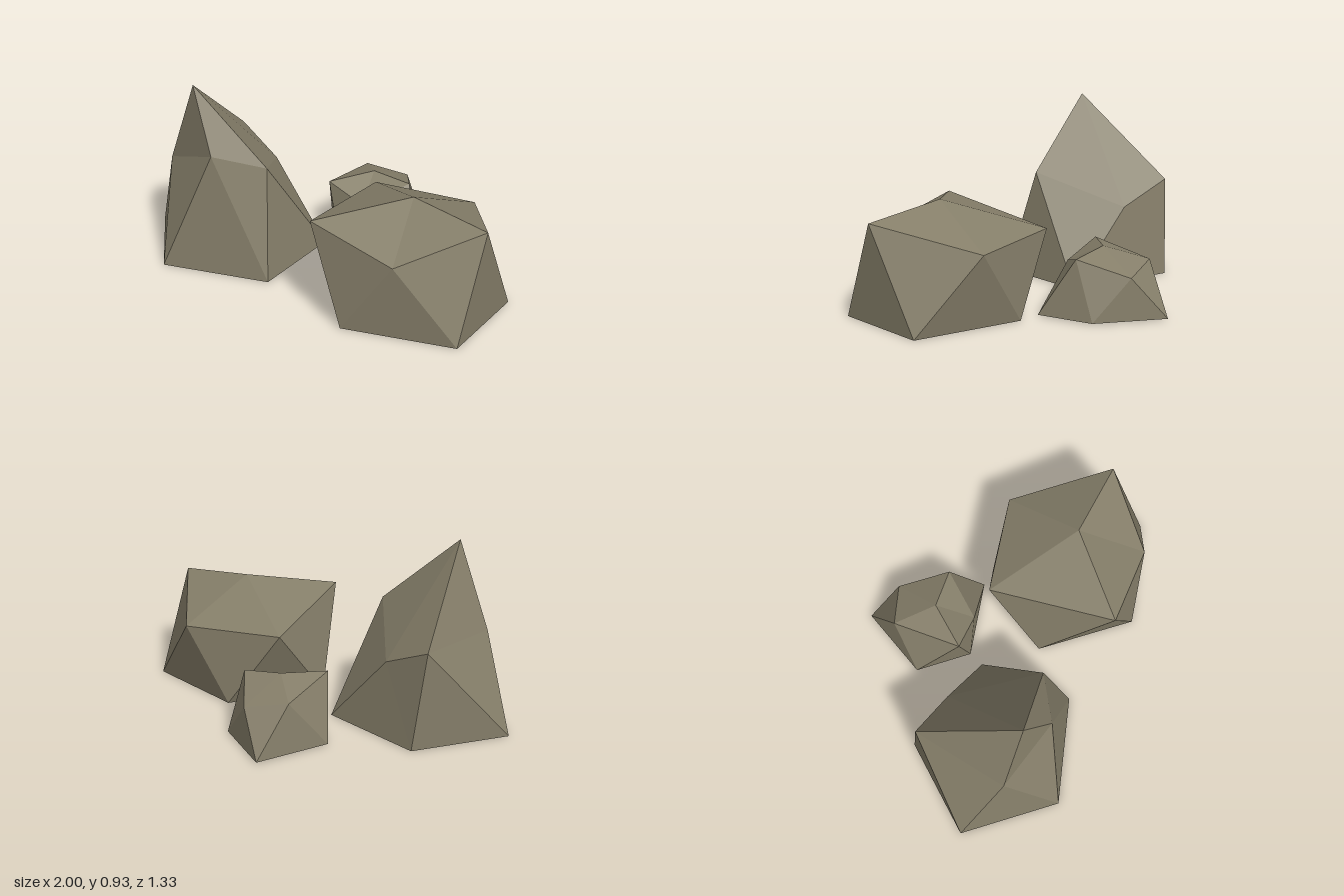
import * as THREE from 'three';

const stone = new THREE.MeshStandardMaterial({ color: 0x857e69, flatShading: true });
stone.name = 'stone';

// Faceted rock: flat pentagon base [x, z], staggered upper ring [x, y, z] and a peak.
// Ring point i sits between base points i and i + 1 (counter-clockwise from above).
function makeRock(name, baseY, base, ring, peak) {
  const n = base.length;
  const points = [...base.map(([x, z]) => [x, baseY, z]), ...ring, peak];
  const faces = [];
  for (let i = 0; i < n; i++) {
    const j = (i + 1) % n;
    faces.push(i, j, n + i);          // lower side
    faces.push(n + i, j, n + j);      // upper side
    faces.push(n + i, n + j, 2 * n);  // cap
    if (i > 0 && i < n - 1) faces.push(0, j, i); // underside
  }
  const indexed = new THREE.BufferGeometry();
  indexed.setAttribute('position', new THREE.Float32BufferAttribute(points.flat(), 3));
  indexed.setIndex(faces);
  const geometry = indexed.toNonIndexed();
  geometry.computeVertexNormals();
  const mesh = new THREE.Mesh(geometry, stone);
  mesh.name = name;
  return mesh;
}

// The two large rocks share one base outline
const largeBase = (x) => [[0.34, 0.66], [0.89, 0.505], [0.89, 0], [0.34, -0.157], [0, 0.25]]
  .map(([px, pz]) => [x + px, pz]);

export function createModel() {
  const group = new THREE.Group();
  group.name = 'rocks';

  group.add(makeRock('tallRock', 0, largeBase(-1),
    [[-0.44, 0.61, 0.51], [-0.2, 0.555, 0.37], [-0.45, 0.39, -0.045], [-0.71, 0.51, -0.105], [-0.79, 0.48, 0.4]],
    [-0.61, 0.925, 0.42]));

  group.add(makeRock('wideRock', 0, largeBase(0.09),
    [[0.68, 0.375, 0.6], [1, 0.52, 0.29], [0.68, 0.39, -0.17], [0.16, 0.4, -0.07], [0.22, 0.487, 0.6]],
    [0.58, 0.57, 0.255]));

  group.add(makeRock('smallRock', 0.005,
    [[-0.08, -0.08], [0.32, -0.165], [0.23, -0.45], [-0.085, -0.665], [-0.275, -0.31]],
    [[0.05, 0.22, -0.11], [0.21, 0.3, -0.32], [0.06, 0.22, -0.55], [-0.155, 0.26, -0.48], [-0.155, 0.3, -0.11]],
    [0, 0.325, -0.307]));

  return group;
}
